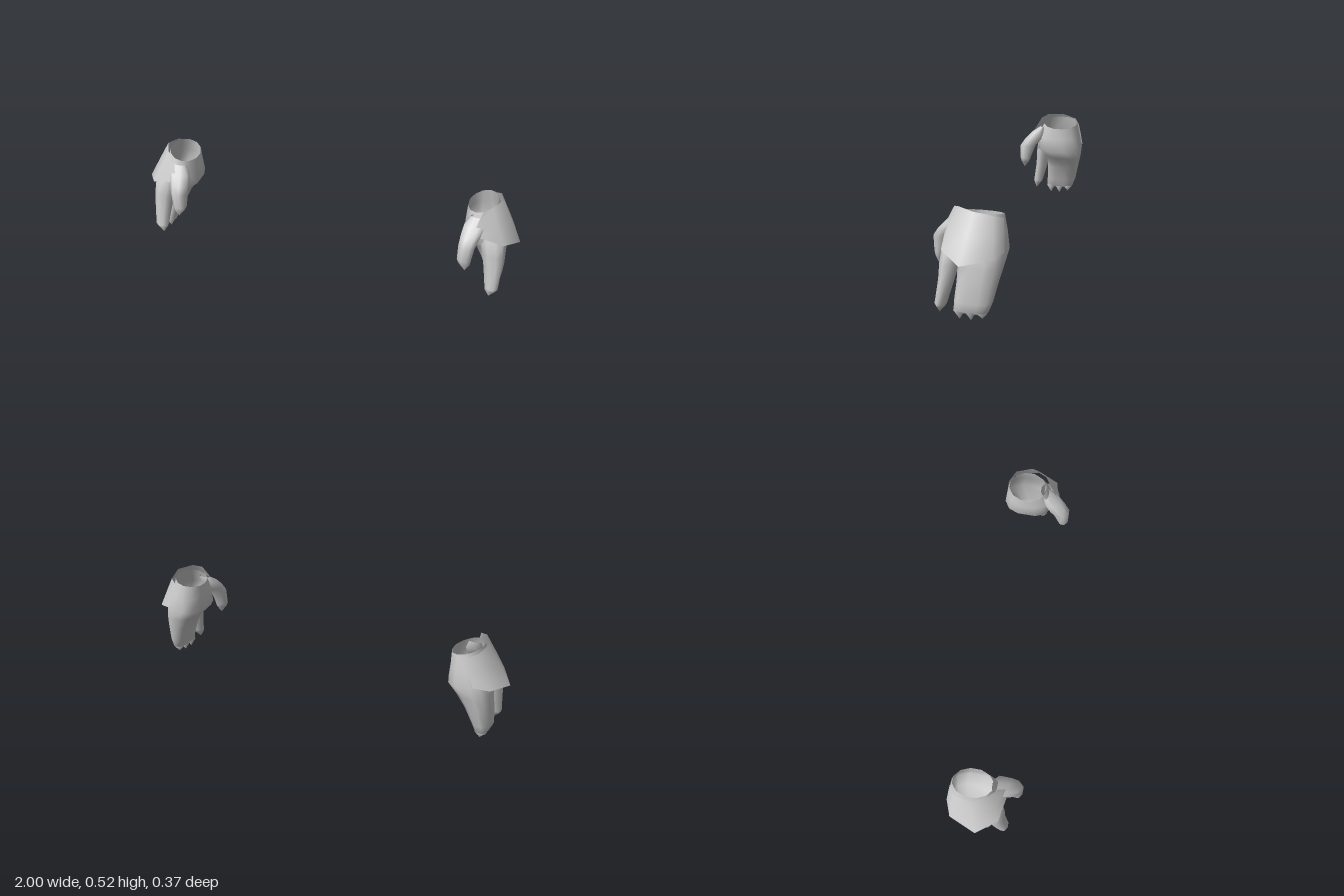
import * as THREE from 'three';

const material = new THREE.MeshStandardMaterial({ color: 0xcccccc, side: THREE.DoubleSide });

// Surface through rows of equally many points, listed from top to bottom
function skin(rows, closed, side) {
  const n = rows[0].length, index = [];
  const last = closed ? n : n - 1;
  for (let r = 0; r < rows.length - 1; r++) {
    for (let i = 0; i < last; i++) {
      const a = r * n + i, b = r * n + (i + 1) % n, c = a + n, d = b + n;
      if (side > 0) index.push(a, b, c, b, d, c);
      else index.push(a, c, b, b, c, d);
    }
  }
  const flat = rows.flat().flatMap(([x, y, z]) => [x * side, y, z]);
  const g = new THREE.BufferGeometry();
  g.setAttribute('position', new THREE.Float32BufferAttribute(flat, 3));
  g.setIndex(index);
  g.computeVertexNormals();
  return g;
}

// Ring of points: centre, half widths in x and z, slope of y along x,
// and a power below 1 for squarer corners
function ring([x, y, z, rx, rz, slope = 0, power = 1], sides) {
  const bend = (v) => Math.sign(v) * Math.abs(v) ** power;
  return Array.from({ length: sides }, (_, i) => {
    const a = -((i + 0.5) / sides) * Math.PI * 2;
    const dx = bend(Math.cos(a)) * rx;
    return [x + dx, y + slope * dx, z + bend(Math.sin(a)) * rz];
  });
}

function makeHand(side, name) {
  const hand = new THREE.Group();
  hand.name = name;
  const add = (part, geometry) => {
    const mesh = new THREE.Mesh(geometry, material);
    mesh.name = part;
    hand.add(mesh);
  };
  const loft = (part, sections, sides) =>
    add(part, skin(sections.map((s) => ring(s, sides)), true, side));

  // Open wrist, palm and the three joined fingers
  loft('palm', [
    [0.795, 0.485, -0.062, 0.074, 0.1, 0.28],
    [0.805, 0.41, -0.053, 0.085, 0.123, 0.15, 0.9],
    [0.82, 0.33, -0.055, 0.102, 0.13, 0.1, 0.75],
    [0.848, 0.27, -0.073, 0.084, 0.101, 0, 0.8],
    [0.873, 0.2, -0.065, 0.064, 0.092, 0, 0.8],
    [0.895, 0.11, -0.051, 0.044, 0.086, 0, 0.75],
    [0.9, 0.065, -0.041, 0.033, 0.079, 0, 0.7],
    [0.9, 0.052, -0.038, 0.018, 0.066, 0, 0.7],
    [0.9, 0.052, -0.038, 0, 0],
  ], 12);

  // Separate forefinger with pointed nail
  loft('forefinger', [
    [0.855, 0.38, 0.035, 0.045, 0.035],
    [0.872, 0.33, 0.048, 0.06, 0.045],
    [0.883, 0.275, 0.058, 0.055, 0.044],
    [0.893, 0.2, 0.071, 0.048, 0.035],
    [0.903, 0.085, 0.097, 0.035, 0.027],
    [0.9, 0.07, 0.099, 0.029, 0.021],
    [0.895, 0.036, 0.107, 0, 0],
  ], 8);

  // Thumb reaching forward and down
  loft('thumb', [
    [0.785, 0.462, 0.04, 0.035, 0.013],
    [0.777, 0.425, 0.067, 0.053, 0.042],
    [0.768, 0.385, 0.096, 0.05, 0.052],
    [0.76, 0.345, 0.127, 0.043, 0.047],
    [0.756, 0.27, 0.142, 0.037, 0.031],
    [0.76, 0.245, 0.144, 0.029, 0.024],
    [0.765, 0.206, 0.149, 0, 0],
  ], 8);

  // Nails on the joined fingers
  [[0.014, 0.013], [-0.038, 0.013], [-0.09, 0.027]].forEach(([z, tip], i) => {
    loft('nail' + (i + 1), [
      [0.9, 0.085, z, 0.02, 0.016],
      [0.9, 0.06, z, 0.031, 0.027],
      [0.897, tip, z, 0, 0],
    ], 8);
  });

  // Flared plate over the back of the hand, running from front edge to rear edge
  add('cuffPlate', skin([
    [[0.81, 0.505, 0.057], [0.85, 0.52, 0.025], [0.89, 0.517, -0.055],
      [0.87, 0.497, -0.138], [0.82, 0.475, -0.168]],
    [[0.79, 0.44, 0.093], [0.89, 0.43, 0.057], [0.945, 0.415, -0.038],
      [0.907, 0.415, -0.147], [0.845, 0.41, -0.176]],
    [[0.81, 0.385, 0.103], [0.93, 0.345, 0.08], [1.0, 0.31, -0.022],
      [0.945, 0.33, -0.155], [0.87, 0.34, -0.183]],
  ], false, side));
  return hand;
}

export function createModel() {
  const model = new THREE.Group();
  model.name = 'pairOfHands';
  const left = makeHand(1, 'leftHand');
  const right = makeHand(-1, 'rightHand');
  right.position.set(0, -0.012, 0.013);
  model.add(left, right);
  return model;
}
